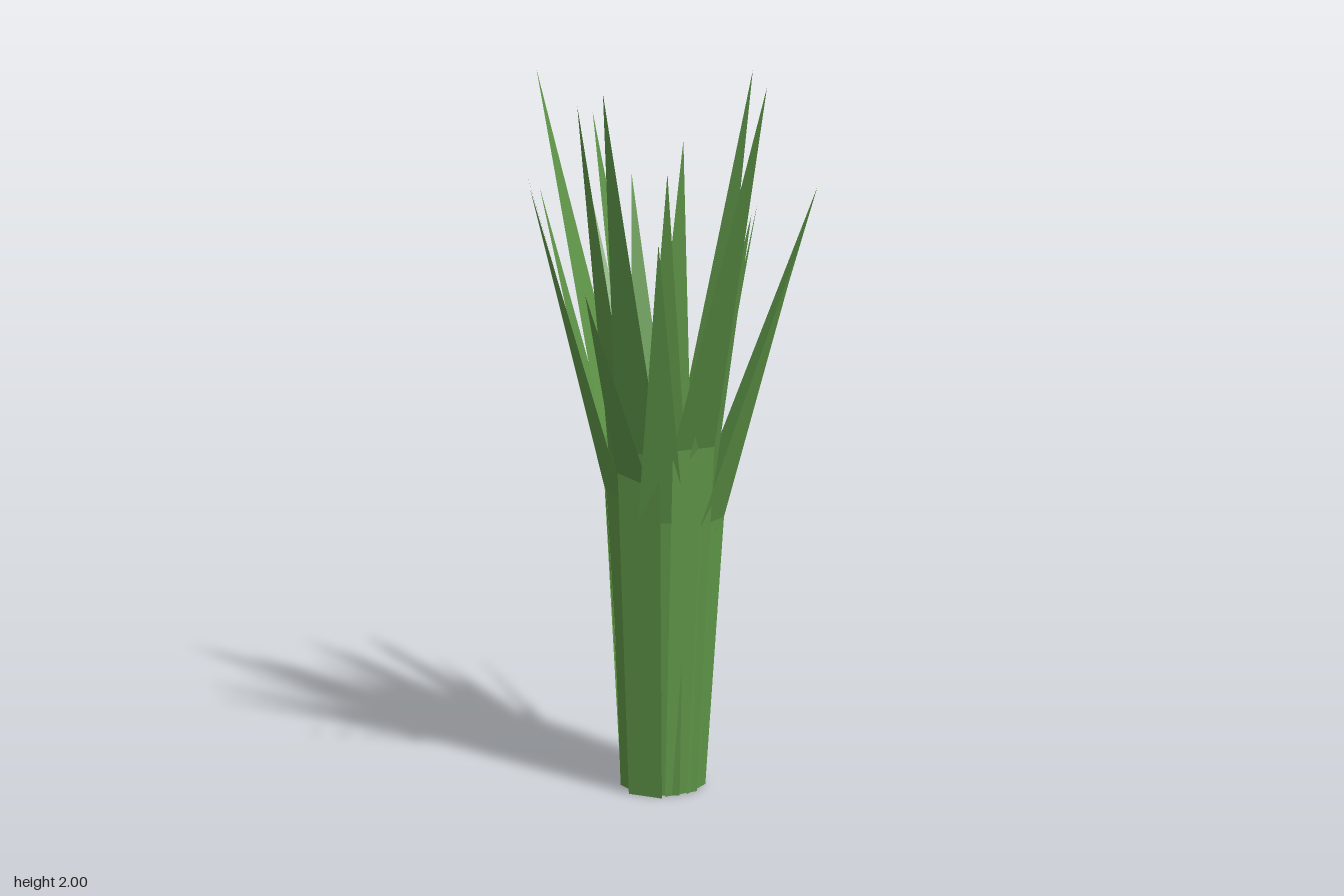
import * as THREE from 'three';

const leafGreen = new THREE.MeshStandardMaterial({ color: 0x5f9648, side: THREE.DoubleSide });
leafGreen.name = 'leafGreen';

// Centre of the clump at the ground
const CX = -0.02, CZ = 0.045;

// Each blade: tip x, tip height, tip z, distance of its foot from the centre
const BLADES = [
  [-0.24, 1.61, -0.44, 0.12], [-0.43, 1.6, -0.33, 0.12], [0.25, 1.65, -0.39, 0.10],
  [0.06, 1.97, -0.37, 0.11], [0.03, 1.55, -0.35, 0.07], [-0.435, 1.98, -0.02, 0.11],
  [-0.375, 1.67, 0.08, 0.10], [-0.33, 1.73, 0.235, 0.085], [-0.265, 1.7, 0.335, 0.10],
  [-0.27, 1.87, -0.035, 0.035], [-0.15, 1.92, 0.285, 0.11], [-0.05, 1.45, 0.44, 0.025],
  [0, 1.97, 0.43, 0.125], [0.115, 1.58, 0.345, 0.11], [0.435, 2.0, 0.385, 0.11],
  [0.31, 1.65, 0.195, 0.09], [0.4, 1.56, 0.09, 0.11], [0.24, 1.65, 0, 0.075],
  [0.29, 1.48, -0.08, 0.11], [0.19, 1.82, -0.115, 0.05], [-0.09, 1.78, -0.235, 0.055],
  [-0.2, 1.7, -0.13, 0.045], [0.23, 1.52, 0.125, 0.07], [0.09, 1.75, 0.24, 0.06],
];

// A flat upright strip that bends outward halfway up into a pointed tip
function bladeGeometry(x, y, z, r) {
  const tip = new THREE.Vector3(x, y, z);
  const out = new THREE.Vector3(x - CX, 0, z - CZ).normalize();
  const side = new THREE.Vector3(out.z, 0, -out.x);
  const foot = new THREE.Vector3(CX, 0, CZ).addScaledVector(out, r);
  const bend = foot.clone().lerp(tip, 0.16).setY(y / 2);
  const at = (p, w) => p.clone().addScaledVector(side, w);
  const a = at(foot, -0.05), b = at(foot, 0.05);
  const c = at(bend, 0.063), d = at(bend, -0.063);
  const geometry = new THREE.BufferGeometry().setFromPoints([a, b, c, a, c, d, d, c, tip]);
  geometry.computeVertexNormals();
  return geometry;
}

export function createModel() {
  const clump = new THREE.Group();
  clump.name = 'grassClump';
  BLADES.forEach((blade, i) => {
    const mesh = new THREE.Mesh(bladeGeometry(...blade), leafGreen);
    mesh.name = `blade${i + 1}`;
    clump.add(mesh);
  });
  return clump;
}
